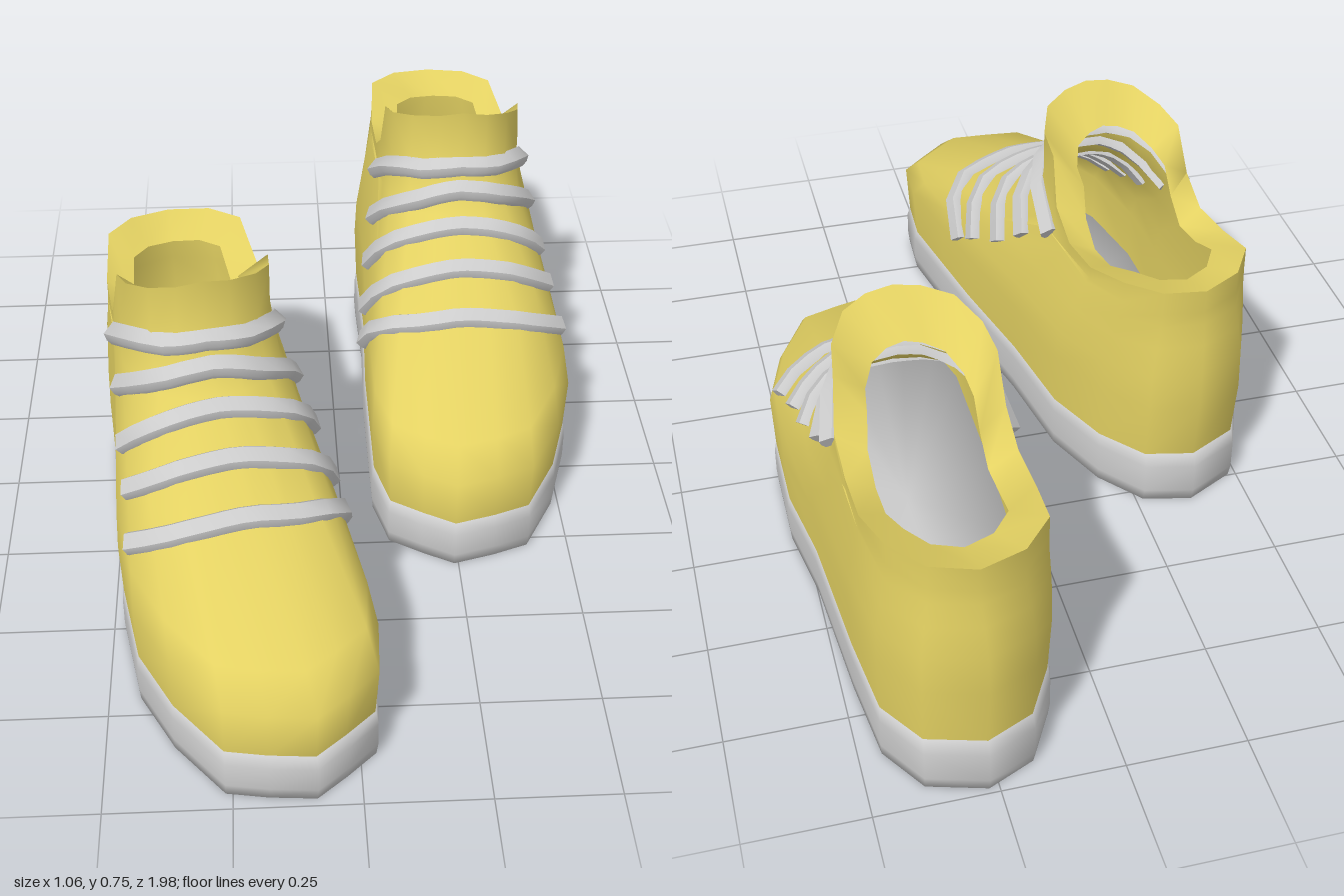
import * as THREE from 'three';
import { toCreasedNormals } from 'three/addons/utils/BufferGeometryUtils.js';

const yellow = new THREE.MeshStandardMaterial({ color: 0xe3d162, side: THREE.DoubleSide });
const grey = new THREE.MeshStandardMaterial({ color: 0xcccccc });

// Footprint [x, z], from the heel round the outer side to the toe and back
const FOOT = [
  [0.27, -0.995], [0.39, -0.96], [0.455, -0.86], [0.477, -0.68], [0.5, -0.39], [0.53, -0.21],
  [0.53, -0.01], [0.485, 0.14], [0.41, 0.28], [0.33, 0.31], [0.24, 0.335], [0.17, 0.295],
  [0.1, 0.25], [0.07, 0.13], [0.07, -0.05], [0.07, -0.2], [0.08, -0.45], [0.075, -0.68],
  [0.11, -0.84], [0.17, -0.95],
];
// Collar rim [x, z, y], column for column with the footprint; the tongue rises at the front
const RIM = [
  [0.28, -0.97, 0.565], [0.37, -0.945, 0.57], [0.43, -0.88, 0.575], [0.455, -0.75, 0.535],
  [0.46, -0.64, 0.53], [0.465, -0.565, 0.58], [0.455, -0.53, 0.69], [0.445, -0.46, 0.71],
  [0.41, -0.395, 0.735], [0.36, -0.365, 0.747], [0.305, -0.36, 0.755], [0.25, -0.365, 0.747],
  [0.19, -0.395, 0.735], [0.15, -0.46, 0.71], [0.138, -0.53, 0.69], [0.13, -0.565, 0.58],
  [0.125, -0.64, 0.53], [0.12, -0.75, 0.535], [0.13, -0.88, 0.575], [0.19, -0.945, 0.57],
];
const CENTRE = [0.3, -0.33];
const lerp = THREE.MathUtils.lerp;

// Skin stacked rings of points, optionally closing both ends
function loft(rings, capped, crease) {
  const pos = [];
  const tri = (...pts) => pts.forEach((p) => pos.push(...p));
  const n = rings[0].length;
  const middle = (ring) => [0, 1, 2].map((k) => ring.reduce((s, p) => s + p[k], 0) / n);
  for (let i = 0; i < n; i++) {
    const j = (i + 1) % n;
    for (let r = 0; r + 1 < rings.length; r++) {
      const [lo, hi] = [rings[r], rings[r + 1]];
      tri(lo[i], hi[j], lo[j]);
      tri(lo[i], hi[i], hi[j]);
    }
    if (capped) {
      const [bottom, top] = [rings[0], rings[rings.length - 1]];
      tri(middle(bottom), bottom[i], bottom[j]);
      tri(middle(top), top[j], top[i]);
    }
  }
  const g = new THREE.BufferGeometry();
  g.setAttribute('position', new THREE.Float32BufferAttribute(pos, 3));
  return toCreasedNormals(g, crease);
}

// Footprint ring scaled about its centre, sloping from heel height to toe height
function footRing(scale, yHeel, yToe) {
  return FOOT.map(([x, z]) => [
    lerp(CENTRE[0], x, scale), lerp(yHeel, yToe, (z + 1) / 1.335), lerp(CENTRE[1], z, scale),
  ]);
}

// Ring part way from footprint to collar
function upperRing(blend, yHeel, yToe) {
  return FOOT.map(([x, z], i) => {
    const [rx, rz, ry] = RIM[i];
    const y = lerp(yHeel, yToe, (rz + 0.97) / 0.61);
    return [lerp(x, rx, blend), Math.min(y, ry - 0.03 * blend), lerp(z, rz, blend)];
  });
}

function soleGeometry() {
  return loft([
    footRing(0.99, 0, 0), footRing(1, 0.03, 0.03),
    footRing(1, 0.1, 0.085), footRing(0.985, 0.13, 0.11),
  ], true, 1.7);
}

function upperGeometry() {
  const rim = RIM.map(([x, z, y]) => [x, y, z]);
  // Padded lining slopes inward to the foot opening, deeper behind the tongue
  const lining = RIM.map(([x, z, y]) => [
    lerp(0.3, x, 0.65), y - (y > 0.6 ? 0.07 : 0.03), lerp(-0.665, z, 0.7),
  ]);
  return loft([
    footRing(0.98, 0.125, 0.105), upperRing(0, 0.27, 0.225), upperRing(0.1, 0.36, 0.28),
    upperRing(0.5, 0.43, 0.38), upperRing(0.9, 0.48, 0.52), upperRing(1, 0.51, 0.62),
    rim, lining,
  ], false, 1.3);
}

// Laces as [x, y, z] of the inner end, middle and outer end
const LACES = [
  [[0.14, 0.49, -0.55], [0.305, 0.635, -0.35], [0.46, 0.53, -0.54]],
  [[0.13, 0.42, -0.45], [0.3, 0.575, -0.325], [0.465, 0.46, -0.45]],
  [[0.115, 0.35, -0.36], [0.3, 0.505, -0.27], [0.475, 0.395, -0.335]],
  [[0.1, 0.295, -0.25], [0.3, 0.45, -0.17], [0.485, 0.36, -0.23]],
  [[0.09, 0.255, -0.17], [0.3, 0.4, -0.05], [0.497, 0.31, -0.12]],
];

function laceGeometry([inner, mid, outer], upper) {
  const core = new THREE.Vector3(0.3, mid[1] - 0.28, mid[2] - 0.15);
  const steps = 12;
  const points = [];
  const outs = [];
  for (let i = 0; i <= steps; i++) {
    const u = (2 * i) / steps - 1;
    const end = u < 0 ? inner : outer;
    const a = Math.abs(u);
    const p = new THREE.Vector3(
      lerp(mid[0], end[0], a), lerp(mid[1], end[1], a ** 2), lerp(mid[2], end[2], a ** 3),
    );
    const out = p.clone().sub(core).normalize();
    // Rest the lace on the upper
    const ray = new THREE.Raycaster(core.clone().addScaledVector(out, 2), out.clone().negate());
    const hit = ray.intersectObject(upper)[0];
    if (hit && hit.point.distanceTo(p) < 0.08) p.copy(hit.point);
    points.push(p.addScaledVector(out, 0.006));
    outs.push(out);
  }
  // Sweep a flat strip along the points
  const rings = points.map((p, i) => {
    const along = points[Math.min(i + 1, steps)].clone().sub(points[Math.max(i - 1, 0)]).normalize();
    const side = outs[i].clone().cross(along).normalize();
    const up = along.clone().cross(side);
    return [[1, 0.7], [0, 1], [-1, 1], [-1, -1], [0, -1], [1, -0.7]].map(([h, w]) => p.clone()
      .addScaledVector(up, 0.014 * h).addScaledVector(side, 0.023 * w).toArray());
  });
  return loft(rings, true, 0.8);
}

// Mirror in x and restore the facing of every triangle
function mirror(g) {
  g.scale(-1, 1, 1);
  for (const a of Object.values(g.attributes)) {
    const s = a.itemSize;
    for (let i = 0; i < a.count; i += 3) {
      for (let k = 0; k < s; k++) {
        const [b, c] = [(i + 1) * s + k, (i + 2) * s + k];
        [a.array[b], a.array[c]] = [a.array[c], a.array[b]];
      }
    }
  }
}

function makeShoe(name, mirrored) {
  const shoe = new THREE.Group();
  shoe.name = name;
  const add = (part, geometry, material) => {
    const mesh = new THREE.Mesh(geometry, material);
    mesh.name = part;
    shoe.add(mesh);
    return mesh;
  };
  add('sole', soleGeometry(), grey);
  const upper = add('upper', upperGeometry(), yellow);
  LACES.map((lace) => laceGeometry(lace, upper)).forEach((g, i) => add(`lace${i + 1}`, g, grey));
  for (const { geometry } of shoe.children) {
    geometry.translate(-CENTRE[0], 0, -CENTRE[1]);
    if (mirrored) mirror(geometry);
  }
  return shoe;
}

export function createModel() {
  const model = new THREE.Group();
  model.name = 'pairOfShoes';
  const left = makeShoe('leftShoe', false);
  left.position.set(CENTRE[0], 0, CENTRE[1]);
  // The right shoe stands ahead, toe turned inward
  const right = makeShoe('rightShoe', true);
  right.position.set(-0.274, 0, 0.348);
  right.rotation.y = 0.195;
  model.add(left, right);
  return model;
}
